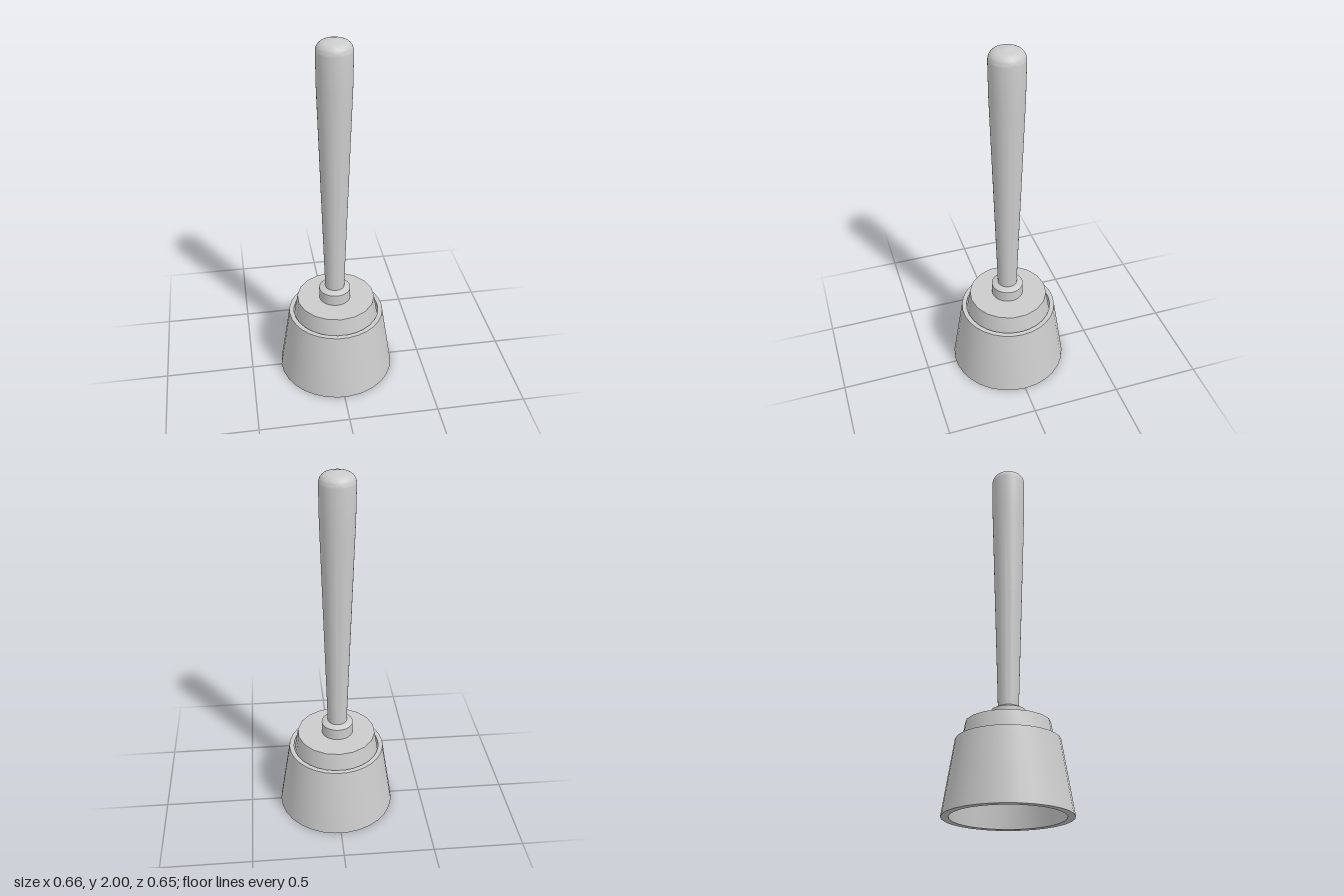
import * as THREE from 'three';
import { toCreasedNormals } from 'three/addons/utils/BufferGeometryUtils.js';

const material = new THREE.MeshStandardMaterial({ color: 0xcccccc });

// Turned part from [radius, height] pairs, listed outside-up
function turned(name, profile, sides, start = 0) {
  const points = profile.map(([r, y]) => new THREE.Vector2(r, y));
  const lathe = new THREE.LatheGeometry(points, sides, start);
  const mesh = new THREE.Mesh(toCreasedNormals(lathe, 0.55), material);
  mesh.name = name;
  return mesh;
}

export function createModel() {
  const group = new THREE.Group();
  group.name = 'plunger';

  // Hollow tapered cup, open at the bottom
  group.add(turned('cup', [
    [0.289, 0], [0.328, 0], [0.268, 0.385], [0.242, 0.385], [0.289, 0],
  ], 30, Math.PI / 2));

  // Tapered plug set in the cup's top opening
  const plug = turned('plug', [
    [0, 0.33], [0.243, 0.33], [0.219, 0.478], [0, 0.478],
  ], 18);
  plug.position.x = -0.001;
  group.add(plug);

  // Bevelled collar and handle, a hair off the cup's axis
  const collar = turned('collar', [
    [0, 0.47], [0.088, 0.47], [0.088, 0.543], [0.062, 0.557], [0, 0.557],
  ], 32);

  const handleProfile = [[0, 0.5], [0.053, 0.5], [0.055, 0.6], [0.074, 1.2], [0.091, 1.75], [0.093, 1.94]];
  // Rounded end of the handle
  for (let i = 1; i <= 8; i++) {
    const a = (i / 8) * Math.PI / 2;
    handleProfile.push([0.043 + 0.05 * Math.cos(a), 1.94 + 0.052 * Math.sin(a)]);
  }
  handleProfile.push([0.022, 1.998], [0, 2]);
  const handle = turned('handle', handleProfile, 48);

  for (const part of [collar, handle]) {
    part.position.set(-0.007, 0, 0.002);
    group.add(part);
  }
  return group;
}
